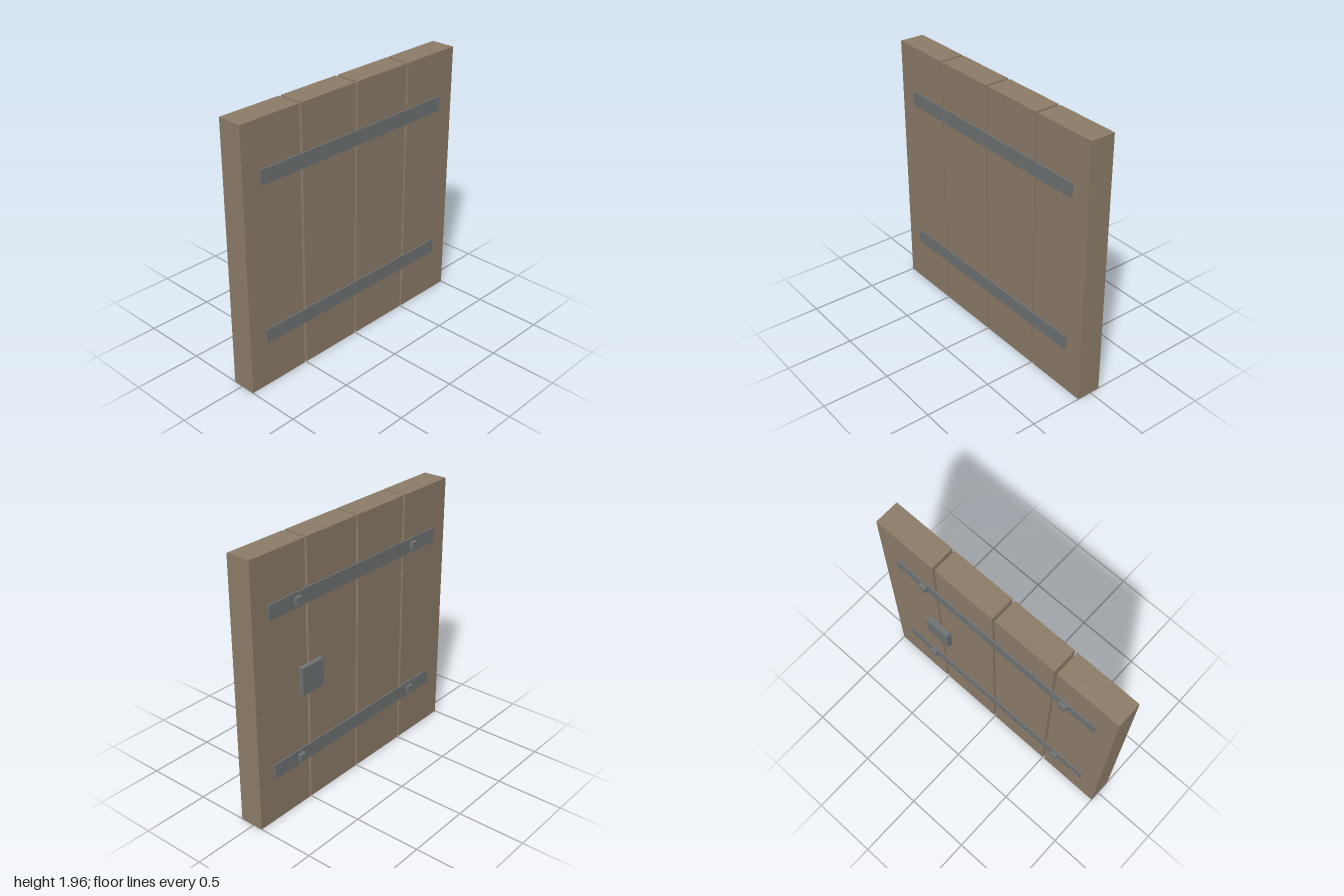
import * as THREE from 'three';

export function createModel() {
  const model = new THREE.Group();
  model.name = 'plankShutter';

  const wood = new THREE.MeshStandardMaterial({ color: 0x8e7e6a });
  wood.name = 'weathered wood';
  const iron = new THREE.MeshStandardMaterial({ color: 0x707474 });
  iron.name = 'grey iron';

  // Box given by its centre in x and y, and its extent in z
  function box(name, material, x, y, w, h, zBack, zFront) {
    const mesh = new THREE.Mesh(new THREE.BoxGeometry(w, h, zFront - zBack), material);
    mesh.position.set(x, y, (zBack + zFront) / 2);
    mesh.name = name;
    model.add(mesh);
  }

  const height = 1.957;
  const back = -0.075;
  const front = 0.11;

  // Four upright planks with narrow gaps
  const plankWidth = 0.485;
  const pitch = 0.505;
  for (let i = 0; i < 4; i++) {
    box('plank', wood, (i - 1.5) * pitch, height / 2, plankWidth, height, back, front);
  }

  // Iron straps on both faces, with square bolts on the back
  for (const y of [0.394, 1.565]) {
    box('frontStrap', iron, 0, y, 1.716, 0.108, front, 0.12);
    box('backStrap', iron, 0, y, 1.716, 0.108, -0.085, back);
    for (const side of [-1, 1]) {
      box('bolt', iron, side * 0.606, y + 0.002, 0.054, 0.054, -0.112, -0.083);
    }
  }

  // Lock plate standing just clear of the back
  box('lockPlate', iron, 0.504, 0.981, 0.204, 0.204, -0.122, -0.084);

  return model;
}
